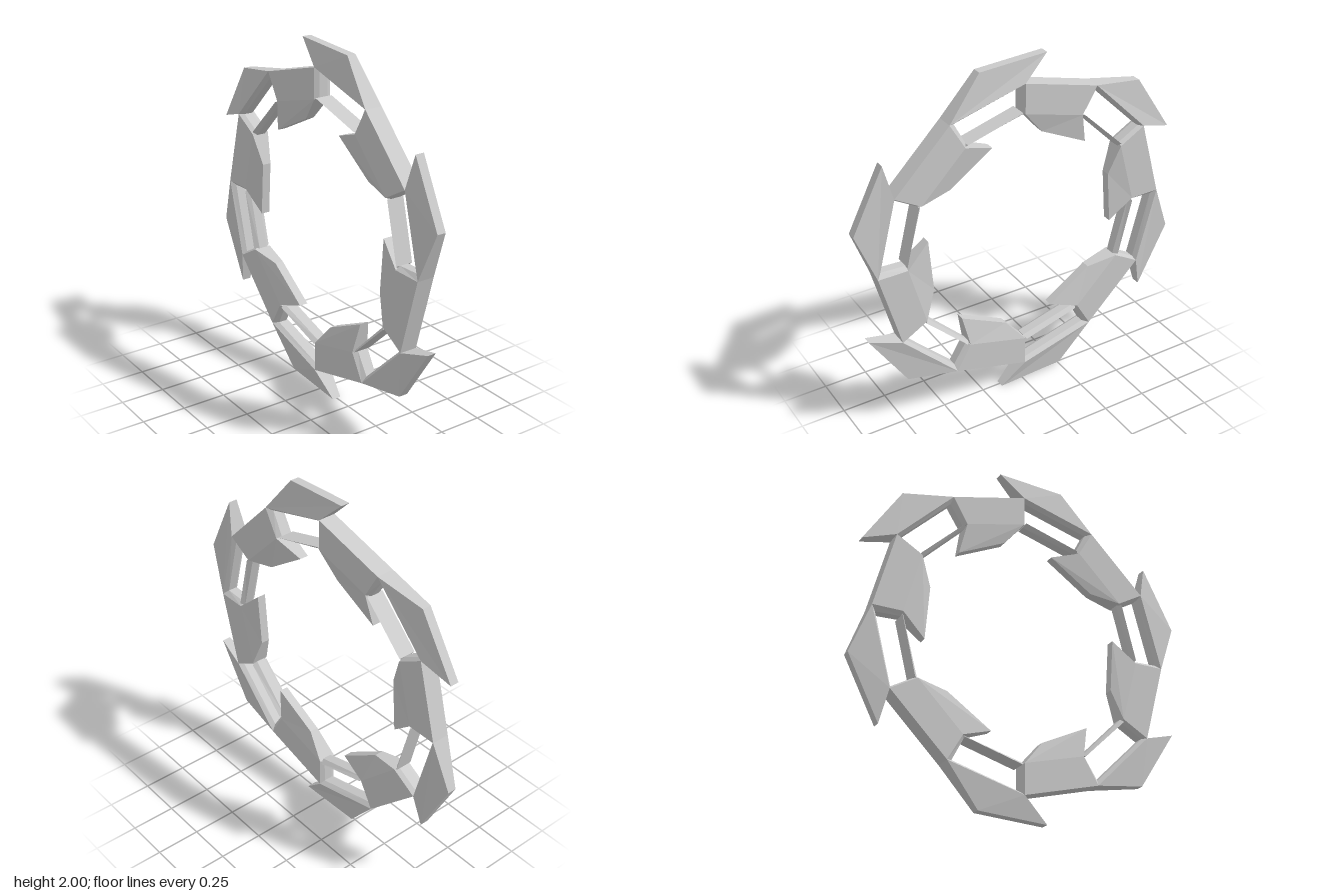
import * as THREE from 'three';

const WIDE = 0.05, THIN = 0.025; // half thickness at the ring and at the tapered edges
const material = new THREE.MeshStandardMaterial({ color: 0xcccccc, flatShading: true });

// Ring point: z and y measured from the ring centre, w is the half thickness there
const at = (z, y, w) => ({ z, y, w });
const polar = (r, deg, w) => {
  const a = THREE.MathUtils.degToRad(deg);
  return at(r * Math.sin(a), r * Math.cos(a), w);
};

// Four-cornered plate, mirrored across x = 0, with its own thickness at each corner
function plate(corners) {
  let area = 0;
  corners.forEach((p, i) => {
    const q = corners[(i + 1) % 4];
    area += p.y * q.z - q.y * p.z;
  });
  const c = area > 0 ? corners : [...corners].reverse();
  const pos = [];
  const tri = (...pts) => pts.forEach(([p, s]) => pos.push(s * p.w, p.y, p.z));
  const quad = (a, b, d, e) => { tri(a, b, d); tri(a, d, e); };
  quad([c[0], 1], [c[1], 1], [c[2], 1], [c[3], 1]);
  quad([c[3], -1], [c[2], -1], [c[1], -1], [c[0], -1]);
  c.forEach((p, i) => {
    const q = c[(i + 1) % 4];
    quad([p, -1], [q, -1], [q, 1], [p, 1]);
  });
  const g = new THREE.BufferGeometry();
  g.setAttribute('position', new THREE.Float32BufferAttribute(pos, 3));
  g.computeVertexNormals();
  return g;
}

export function createModel() {
  // Corners of the twelve-sided ring
  const out = (deg) => polar(0.87, deg, WIDE);
  const inn = (deg) => polar(0.70, deg, WIDE);

  // Corners of the window opening
  const holeOut0 = at(0.012, 0.85, THIN), holeOut1 = at(0.40, 0.743, THIN);
  const holeIn0 = at(0.012, 0.71, WIDE), holeIn1 = at(0.335, 0.618, WIDE);

  const parts = {
    // Solid link with a swept tooth on the inside
    link: [out(30), out(60), inn(60), inn(30)],
    innerTooth: [inn(30), inn(60), at(0.432, 0.38, THIN), at(0.182, 0.55, THIN)],
    // Swept blade outside the open link
    outerBlade: [out(0), out(30), at(0.25, 0.98, THIN), at(-0.14, 1.0, THIN)],
    // Bevelled frame round the opening
    windowOuterRim: [out(0), out(30), holeOut1, holeOut0],
    windowInnerBar: [holeIn0, holeIn1, polar(0.692, 30, THIN), polar(0.692, 0, THIN)],
    windowEndA: [out(0), holeOut0, { ...holeIn0, w: THIN }, inn(0)],
    windowEndB: [out(30), holeOut1, { ...holeIn1, w: THIN }, inn(30)],
  };
  const geometries = Object.entries(parts).map(([name, c]) => [name, plate(c)]);

  const model = new THREE.Group();
  model.name = 'bladedRing';
  for (let i = 0; i < 6; i++) {
    const segment = new THREE.Group();
    segment.name = `segment${i + 1}`;
    for (const [name, geometry] of geometries) {
      const mesh = new THREE.Mesh(geometry, material);
      mesh.name = name;
      segment.add(mesh);
    }
    segment.position.y = 1;
    segment.rotation.x = (i * Math.PI) / 3;
    model.add(segment);
  }
  return model;
}
